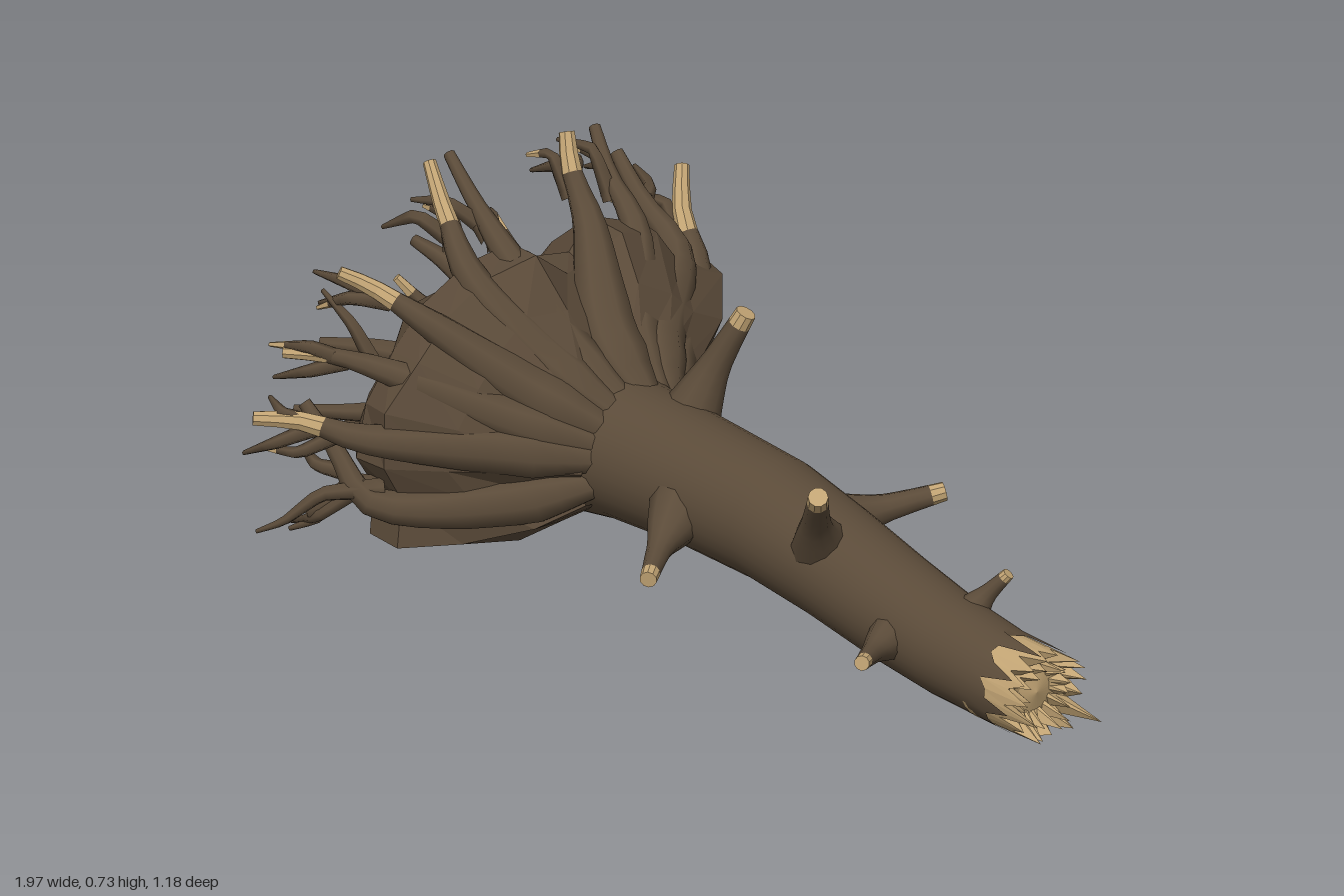
import * as THREE from 'three';

const bark = new THREE.MeshStandardMaterial({ color: 0x5b4b39 });
bark.name = 'bark';
const soil = new THREE.MeshStandardMaterial({ color: 0x594938 });
soil.name = 'soil';
const wood = new THREE.MeshStandardMaterial({ color: 0xc2a474, side: THREE.DoubleSide });
wood.name = 'bare wood';

const V = (x, y, z) => new THREE.Vector3(x, y, z);
let seed = 7;
const rnd = (a = 0, b = 1) => {
  seed = (seed * 16807) % 2147483647;
  return a + (b - a) * (seed / 2147483647);
};

// Skin a list of equal-length rings, optionally closing the far end to a point
function loft(rings, { end, flat } = {}) {
  const n = rings[0].length, pos = [], idx = [];
  rings.flat().forEach(p => pos.push(p.x, p.y, p.z));
  for (let i = 0; i < rings.length - 1; i++) for (let j = 0; j < n; j++) {
    const k = (j + 1) % n, a = i * n + j, b = i * n + k, c = a + n, d = b + n;
    idx.push(a, b, d, a, d, c);
  }
  if (end) {
    const m = pos.length / 3, base = m - n;
    pos.push(end.x, end.y, end.z);
    for (let j = 0; j < n; j++) idx.push(base + j, base + (j + 1) % n, m);
  }
  let g = new THREE.BufferGeometry();
  g.setAttribute('position', new THREE.Float32BufferAttribute(pos, 3));
  g.setIndex(idx);
  if (flat) g = g.toNonIndexed();
  g.computeVertexNormals();
  return g;
}

function add(parent, name, geometry, material) {
  const m = new THREE.Mesh(geometry, material);
  m.name = name;
  parent.add(m);
}

// Tapered limb along a curve; the part after woodFrom is bare wood
function limb(parent, name, points, radii, sides = 8, woodFrom = 1, tension = 0.5) {
  const curve = new THREE.CatmullRomCurve3(points, false, 'catmullrom', tension);
  const N = points.length * 3, f = curve.computeFrenetFrames(N);
  const radiusAt = t => {
    const s = t * (radii.length - 1), i = Math.min(Math.floor(s), radii.length - 2);
    return THREE.MathUtils.lerp(radii[i], radii[i + 1], s - i);
  };
  const rings = [];
  for (let i = 0; i <= N; i++) {
    const c = curve.getPointAt(i / N), r = radiusAt(i / N);
    rings.push(Array.from({ length: sides }, (_, j) => {
      const a = j / sides * Math.PI * 2;
      return c.clone().addScaledVector(f.normals[i], Math.cos(a) * r)
        .addScaledVector(f.binormals[i], Math.sin(a) * r);
    }));
  }
  const cut = Math.round(N * woodFrom), tip = curve.getPointAt(1);
  add(parent, name, loft(rings.slice(0, cut + 1), { end: cut === N ? tip : null }), bark);
  if (cut < N) add(parent, name + 'BrokenTip', loft(rings.slice(cut), { end: tip, flat: true }), wood);
}

// Ring around the trunk axis, with x given per side
const axisRing = (cy, cz, n, x, r) => Array.from({ length: n }, (_, j) => {
  const a = j / n * Math.PI * 2;
  return V(x(j), cy + Math.cos(a) * r, cz + Math.sin(a) * r);
});

export function createModel() {
  const model = new THREE.Group();
  model.name = 'uprootedTree';

  // Trunk: x, centre y, centre z, radius; ends in a torn edge
  const SIDES = 32;
  const trunk = [[-0.72, 0.2, -0.05, 0.2], [-0.55, 0.195, -0.05, 0.165], [-0.42, 0.193, -0.05, 0.145],
    [-0.2, 0.188, -0.055, 0.134], [0, 0.18, -0.053, 0.13], [0.2, 0.158, -0.038, 0.122],
    [0.4, 0.132, -0.018, 0.115], [0.6, 0.112, 0, 0.106], [0.76, 0.103, 0.008, 0.099]];
  const rings = trunk.map(([x, y, z, r]) => axisRing(y, z, SIDES, () => x, r));
  const torn = Array.from({ length: SIDES }, (_, j) => j % 4 === 1 ? rnd(0.86, 0.91) : rnd(0.78, 0.83));
  rings.push(axisRing(0.1, 0.01, SIDES, j => torn[j], 0.098));
  add(model, 'trunk', loft(rings), bark);

  // Splintered break: two nested crowns of splinters around a rough core
  const crown = (r, lo, hi, floor) => {
    const tips = Array.from({ length: SIDES }, (_, j) => j % 2 ? rnd(lo + 0.04, hi) : rnd(lo, lo + 0.03));
    return loft([
      axisRing(0.1, 0.01, SIDES, () => 0.74, r),
      axisRing(0.1, 0.01, SIDES, () => 0.8, r),
      axisRing(0.1, 0.01, SIDES, j => tips[j], r * 0.98),
      axisRing(0.1, 0.01, SIDES, () => floor, r * 0.62)
    ], { end: V(floor + 0.01, 0.1, 0.01), flat: true });
  };
  add(model, 'outerSplinters', crown(0.0955, 0.85, 0.99, 0.85), wood);
  add(model, 'innerSplinters', crown(0.068, 0.85, 0.94, 0.86), wood);

  // Broken side branches with flared collars
  [
    [V(-0.34, 0.27, -0.11), V(-0.25, 0.52, -0.19), 0.07, 0.022],
    [V(0.21, 0.2, 0.01), V(0.36, 0.41, 0.155), 0.07, 0.021],
    [V(-0.19, 0.17, 0.04), V(-0.05, 0.12, 0.255), 0.07, 0.018],
    [V(0.49, 0.12, 0.06), V(0.59, 0.14, 0.24), 0.055, 0.016],
    [V(0.06, 0.17, -0.12), V(0.17, 0.21, -0.36), 0.07, 0.02],
    [V(0.61, 0.17, -0.03), V(0.67, 0.27, -0.09), 0.045, 0.013]
  ].forEach(([a, b, r0, r1]) => {
    const mid = a.clone().lerp(b, 0.5).add(V(-0.012, -0.008, 0));
    limb(model, 'branch', [a, mid, b], [r0, r0 * 0.72, r1 * 1.5, r1 * 1.2, r1], 10, 0.86);
  });

  // Root ball: an irregular outline (z, y) scaled along x, flattened below
  const outline = [[0.43, 0.2], [0.4, 0.32], [0.33, 0.42], [0.24, 0.5], [0.13, 0.56], [0.01, 0.57],
    [-0.08, 0.52], [-0.15, 0.5], [-0.25, 0.56], [-0.37, 0.52], [-0.42, 0.43], [-0.53, 0.37],
    [-0.5, 0.26], [-0.46, 0.19], [-0.35, 0.11], [-0.34, 0.02], [-0.2, 0], [0, 0], [0.2, 0], [0.38, 0.02], [0.37, 0.12]];
  const CY = 0.18, CZ = -0.04;
  const ball = [[-0.44, 0.3], [-0.51, 0.5], [-0.59, 0.76], [-0.69, 0.98], [-0.77, 0.98], [-0.85, 0.8],
    [-0.9, 0.54], [-0.925, 0.26]].map(([x, s]) => outline.map(([z, y]) => {
    const k = s * rnd(0.95, 1.03), ky = y < CY && x > -0.8 ? Math.min(1, k * 1.45) : k;
    return V(x + rnd(-0.02, 0.02), Math.max(0.003, CY + (y - CY) * ky), CZ + (z - CZ) * k);
  }));
  add(model, 'rootBall', loft(ball, { end: V(-0.935, CY + 0.05, CZ), flat: true }), soil);

  // Main roots: middle, rim and tip as (z, y), tip x, thickness, where bare wood begins
  const roots = new THREE.Group();
  roots.name = 'roots';
  model.add(roots);
  const mains = [
    [0.2, 0.11, 0.4, 0.11, 0.44, 0.29, -0.9, 0.052, 1],
    [0.2, 0.23, 0.42, 0.26, 0.58, 0.295, -0.9, 0.055, 0.82],
    [0.18, 0.29, 0.34, 0.38, 0.46, 0.395, -0.94, 0.048, 0.86],
    [0.13, 0.34, 0.28, 0.49, 0.38, 0.575, -0.86, 0.052, 0.82],
    [0.06, 0.37, 0.13, 0.52, 0.08, 0.715, -0.92, 0.05, 0.8],
    [0, 0.38, 0.03, 0.54, 0.0, 0.7, -0.95, 0.044, 1],
    [-0.09, 0.39, -0.18, 0.56, -0.215, 0.725, -0.83, 0.06, 0.86],
    [-0.17, 0.36, -0.31, 0.5, -0.38, 0.655, -0.93, 0.046, 1],
    [-0.22, 0.34, -0.42, 0.42, -0.44, 0.58, -0.93, 0.055, 1],
    [-0.25, 0.29, -0.47, 0.36, -0.565, 0.535, -0.87, 0.055, 0.82],
    [-0.26, 0.25, -0.47, 0.31, -0.575, 0.35, -0.94, 0.055, 0.86],
    [-0.24, 0.19, -0.43, 0.21, -0.53, 0.175, -0.92, 0.046, 0.86]
  ];
  mains.forEach(([z1, y1, z2, y2, z3, y3, xt, r, woodFrom]) => {
    const d = V(0, y1 - CY, z1 - CZ).setLength(0.1);
    const rim = V(-0.72, y2, z2), tip = V(xt, y3, z3);
    limb(roots, 'mainRoot', [V(-0.41, 0.19 + d.y, -0.05 + d.z), V(-0.56, y1, z1), rim,
      rim.clone().lerp(tip, 0.5).add(V(-0.02, 0.01, 0)), tip],
    [r * 0.5, r * 1.1, r, r * 0.72, r * 0.42, r * 0.28], 8, woodFrom);

    // Thin kinked rootlets leaving the rim
    for (let k = 0; k < 3; k++) {
      const a = rim.clone().lerp(tip, rnd(0, 0.4)).add(V(-0.04, 0, 0));
      const out = V(0, a.y - CY, a.z - CZ).normalize();
      const side = V(0, -out.z, out.y).multiplyScalar(rnd(-0.07, 0.07));
      const b = a.clone().addScaledVector(out, rnd(0.03, 0.08)).add(side).add(V(-0.05, 0, 0));
      const c = b.clone().addScaledVector(out, rnd(-0.04, 0.04)).addScaledVector(side, 0.5)
        .add(V(rnd(-0.13, -0.06), rnd(-0.05, 0.02), 0));
      c.set(Math.max(c.x, -0.98), THREE.MathUtils.clamp(c.y, 0.02, 0.68), THREE.MathUtils.clamp(c.z, -0.56, 0.56));
      limb(roots, 'rootlet', [a, b, c], [0.02, 0.014, 0.005], 5, k ? 1 : 0.78, 0.15);
    }
  });

  // Two low rootlets reaching towards the ground
  [[0.57, 0.04], [0.48, 0.02]].forEach(([z, y]) => limb(roots, 'lowRootlet',
    [V(-0.72, 0.14, 0.38), V(-0.8, 0.13, z - 0.09), V(-0.85, y + 0.03, z - 0.03), V(-0.9, y, z)],
    [0.025, 0.018, 0.012, 0.005], 6, 1, 0.15));

  // Broken roots lying across and poking out of the underside of the ball
  for (let i = 0; i < 14; i++) {
    const a = i * 2.4, s = 0.1 + 0.22 * Math.sqrt(i / 14);
    const z = CZ + Math.cos(a) * s * 1.2, y = 0.29 + Math.sin(a) * s * 0.75;
    const dz = Math.cos(a) * 0.07, dy = Math.sin(a) * 0.05;
    const thick = rnd(0.015, 0.026), x = -0.93 + s * 0.15;
    limb(roots, 'undersideRoot', [V(-0.8, y - dy, z - dz), V(x, y, z),
      V(rnd(-0.985, -0.94), Math.max(0.04, y + dy + rnd(-0.02, 0.02)), z + dz)],
    [thick * 1.6, thick * 1.1, thick * 0.6], 6, i % 3 === 0 ? 0.78 : 1);
  }
  return model;
}
